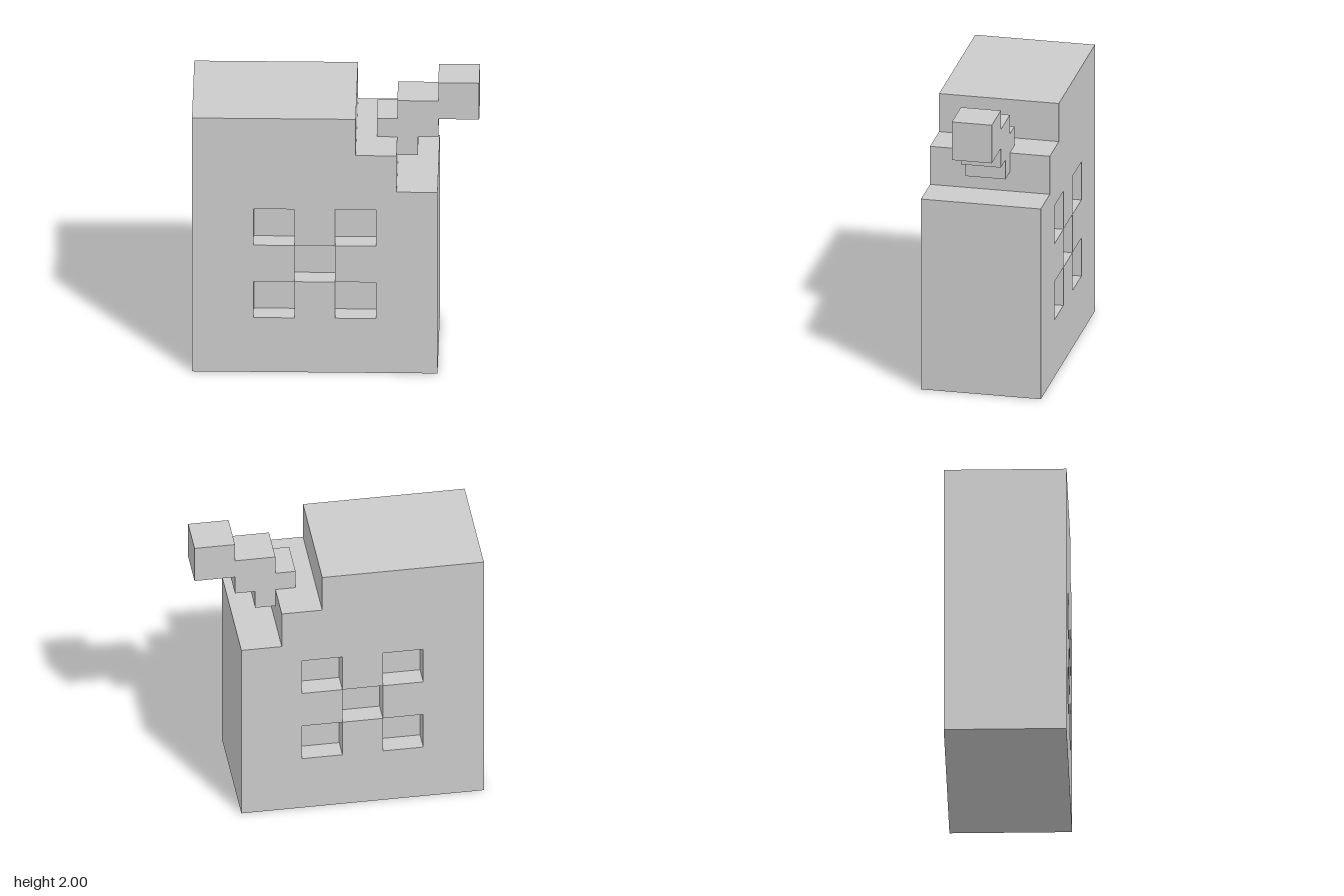
import * as THREE from 'three';
import { mergeGeometries } from 'three/addons/utils/BufferGeometryUtils.js';

const U = 2 / 15; // one block unit

const toPoints = (pts) => pts.map(([x, y]) => new THREE.Vector2(x * U, y * U));
const rect = (x, y, w, h) => [[x, y], [x + w, y], [x + w, y + h], [x, y + h]];

// Flat panel facing +z
function panel(pts, z) {
  const g = new THREE.ShapeGeometry(new THREE.Shape(toPoints(pts))).toNonIndexed();
  g.deleteAttribute('uv');
  g.translate(0, 0, z * U);
  return g;
}

// Wall along a closed outline; counter-clockwise outlines face outwards
function wall(pts, z0, z1) {
  const pos = [];
  pts.forEach((a, i) => {
    const b = pts[(i + 1) % pts.length];
    const q = [[...a, z0], [...b, z0], [...b, z1], [...a, z1]];
    for (const k of [0, 1, 2, 0, 2, 3]) pos.push(...q[k].map((v) => v * U));
  });
  const g = new THREE.BufferGeometry();
  g.setAttribute('position', new THREE.Float32BufferAttribute(pos, 3));
  g.computeVertexNormals();
  return g;
}

// Mirror front to back, keeping the faces turned outwards
function mirrorZ(source) {
  const g = source.clone();
  const p = g.attributes.position;
  const s = source.attributes.position;
  for (let i = 0; i < p.count; i += 3) {
    [0, 2, 1].forEach((k, j) => p.setXYZ(i + j, s.getX(i + k), s.getY(i + k), -s.getZ(i + k)));
  }
  g.computeVertexNormals();
  return g;
}

export function createModel() {
  const model = new THREE.Group();
  model.name = 'steppedCan';
  const material = new THREE.MeshStandardMaterial({ color: 0xcccccc, flatShading: true });
  const add = (name, geometry) => {
    const mesh = new THREE.Mesh(geometry, material);
    mesh.name = name;
    model.add(mesh);
  };

  // Body shell with the stepped shoulder
  add('bodyShell', wall([
    [-7, 0], [5, 0], [5, 10], [3, 10], [3, 12], [1, 12], [1, 14], [-7, 14],
  ], -3, 3));

  // Front panel in three bands around the cross of recesses
  const front = mergeGeometries([
    [[-7, 0], [5, 0], [5, 5], [2, 5], [2, 3], [0, 3], [0, 5], [-2, 5], [-2, 3], [-4, 3], [-4, 5], [-7, 5]],
    rect(-7, 5, 5, 2),
    rect(0, 5, 5, 2),
    [[-7, 7], [-4, 7], [-4, 9], [-2, 9], [-2, 7], [0, 7], [0, 9], [2, 9], [2, 7], [5, 7],
      [5, 10], [3, 10], [3, 12], [1, 12], [1, 14], [-7, 14]],
  ].map((pts) => panel(pts, 3)));
  add('frontPanel', front);
  add('backPanel', mirrorZ(front));

  // Five square recesses, one unit deep, on both faces
  const recesses = mergeGeometries(
    [[-4, 3], [0, 3], [-2, 5], [-4, 7], [0, 7]].flatMap(([x, y]) => {
      const square = rect(x, y, 2, 2);
      return [panel(square, 2), wall([...square].reverse(), 2, 3)];
    }),
  );
  add('frontRecesses', recesses);
  add('backRecesses', mirrorZ(recesses));

  // Stepped spout resting on the shoulder
  const spout = new THREE.ExtrudeGeometry(new THREE.Shape(toPoints([
    [2, 12], [3, 12], [3, 11], [4, 11], [4, 12], [5, 12], [5, 13], [7, 13],
    [7, 15], [5, 15], [5, 14], [3, 14], [3, 13], [2, 13],
  ])), { depth: 2 * U, bevelEnabled: false });
  spout.translate(0, 0, -U);
  add('spout', spout);

  return model;
}
